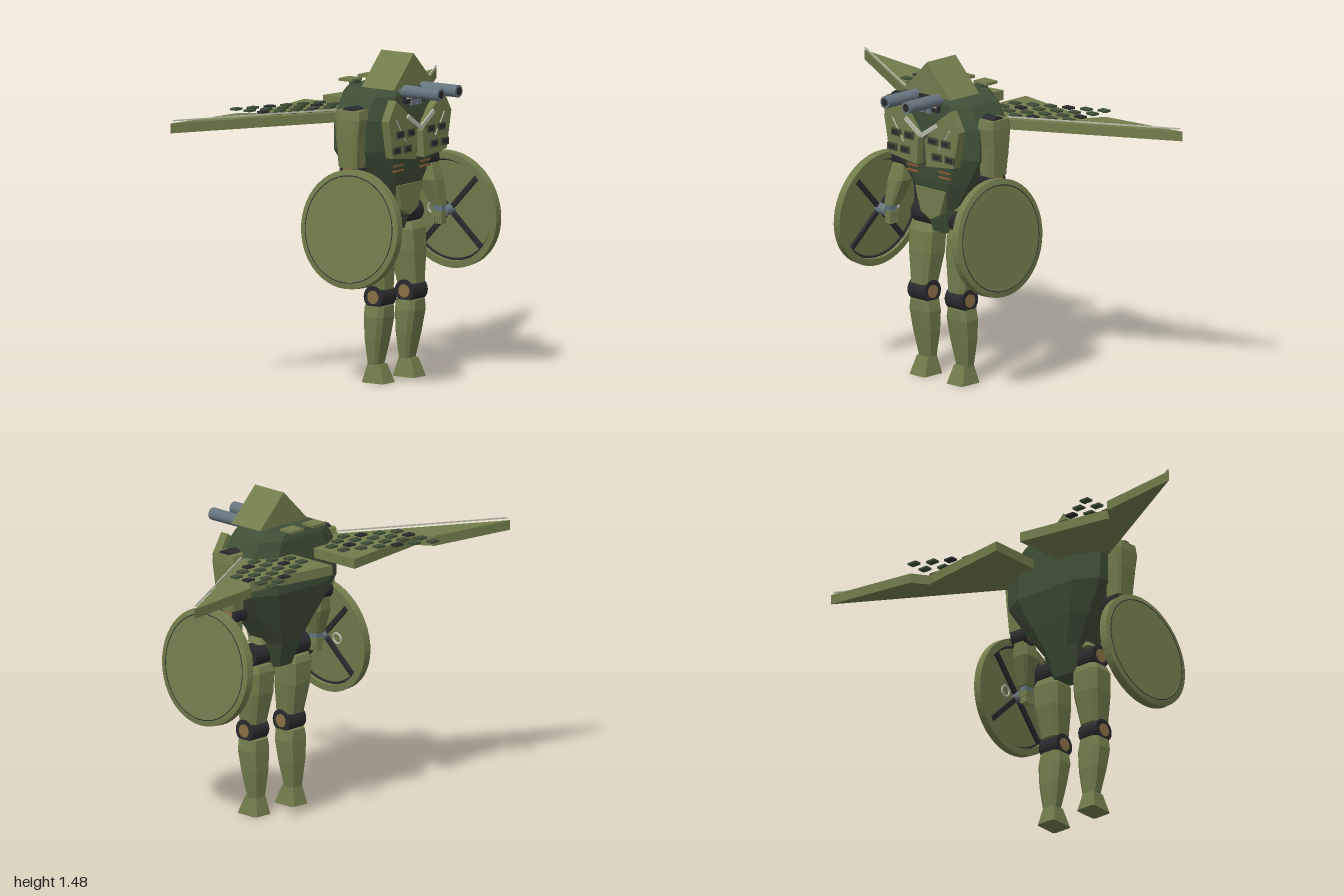
import * as THREE from 'three';

const mat = (name, color) => Object.assign(new THREE.MeshStandardMaterial({ color }), { name });

export function createModel() {
  const olive = mat('olive armour', 0x727c4c);
  const dark = mat('dark green', 0x3f4f37);
  const black = mat('black joint', 0x2b2b2f);
  const steel = mat('blue steel', 0x66747e);
  const bronze = mat('bronze cap', 0x8a7044);
  const pale = mat('pale trim', 0xb8baa8);
  const rust = mat('rust vent', 0x845a34);
  const root = new THREE.Group();
  root.name = 'wingedRobot';

  // Faceted mesh helper
  const add = (name, geo, m, x = 0, y = 0, z = 0, parent = root) => {
    const g = geo.index ? geo.toNonIndexed() : geo;
    g.computeVertexNormals();
    const mesh = new THREE.Mesh(g, m);
    mesh.name = name;
    mesh.position.set(x, y, z);
    parent.add(mesh);
    return mesh;
  };
  const box = (name, m, w, h, d, x, y, z, p) => add(name, new THREE.BoxGeometry(w, h, d), m, x, y, z, p);
  const cylX = (name, m, r, len, x, y, z, p) =>
    add(name, new THREE.CylinderGeometry(r, r, len, 20).rotateZ(Math.PI / 2), m, x, y, z, p);
  const cylZ = (name, m, r, len, x, y, z, p) =>
    add(name, new THREE.CylinderGeometry(r, r, len, 20).rotateX(Math.PI / 2), m, x, y, z, p);
  // Thin bar between two points
  const bar = (name, m, a, b, t) => {
    const A = new THREE.Vector3(...a), B = new THREE.Vector3(...b);
    const mesh = box(name, m, t, t, A.distanceTo(B), 0, 0, 0);
    mesh.position.copy(A).add(B).multiplyScalar(0.5);
    mesh.quaternion.setFromUnitVectors(new THREE.Vector3(0, 0, 1), B.sub(A).normalize());
  };
  const plate = (name, m, pts, depth, z) => add(name, new THREE.ExtrudeGeometry(
    new THREE.Shape(pts.map(p => new THREE.Vector2(...p))), { depth, bevelEnabled: false }), m, 0, 0, z);
  // Chamfered sections [y, centreX, halfWidth, back, front], listed top to bottom
  const loft = (name, m, sections, c) => {
    const rings = sections.map(([y, cx, w, zb, zf]) => {
      const d = (zf - zb) / 2, cz = (zf + zb) / 2, k = 1 - c;
      return [[1, k], [k, 1], [-k, 1], [-1, k], [-1, -k], [-k, -1], [k, -1], [1, -k]]
        .map(([a, b]) => [cx + a * w, y, cz + b * d]);
    });
    const v = [];
    for (let r = 0; r < rings.length - 1; r++) {
      for (let i = 0; i < 8; i++) {
        const j = (i + 1) % 8, t = rings[r], b = rings[r + 1];
        v.push(...t[i], ...t[j], ...b[i], ...t[j], ...b[j], ...b[i]);
      }
    }
    const top = rings[0], bot = rings[rings.length - 1];
    for (let i = 1; i < 7; i++) v.push(...top[0], ...top[i], ...top[i + 1], ...bot[0], ...bot[i + 1], ...bot[i]);
    // Caps run opposite to the walls, so swap them to face outward
    const g = new THREE.BufferGeometry();
    const caps = v.length - 6 * 18;
    for (let k = caps; k < v.length; k += 9) {
      for (let a = 0; a < 3; a++) [v[k + 3 + a], v[k + 6 + a]] = [v[k + 6 + a], v[k + 3 + a]];
    }
    g.setAttribute('position', new THREE.Float32BufferAttribute(v, 3));
    return add(name, g, m);
  };

  // Torso and pelvis
  loft('torso', dark, [
    [1.33, 0, 0.16, -0.075, 0.19], [1.3, 0, 0.215, -0.085, 0.205], [1.2, 0, 0.275, -0.09, 0.21],
    [1.06, 0, 0.27, -0.095, 0.21], [0.93, 0, 0.19, -0.06, 0.19], [0.8, 0, 0.1, -0.02, 0.16],
    [0.68, 0, 0.065, 0.02, 0.13]], 0.4);
  plate('pelvisGuard', olive, [[-0.095, 0.89], [-0.06, 0.78], [0, 0.75], [0.06, 0.78], [0.095, 0.89]], 0.04, 0.15);

  // Head and face
  plate('roofHead', olive, [[-0.15, 1.33], [0.15, 1.33], [0, 1.48]], 0.18, 0.03);
  box('face', black, 0.16, 0.07, 0.1, 0, 1.295, 0.17);
  box('faceTrim', pale, 0.14, 0.008, 0.006, 0, 1.285, 0.222);

  for (const s of [1, -1]) {
    const side = s > 0 ? 'left' : 'right';
    const n = t => side + t;

    // Twin cannons, face vents and back fins
    cylZ(n('Cannon'), steel, 0.028, 0.31, s * 0.067, 1.318, 0.255);
    cylZ(n('CannonBore'), black, 0.018, 0.004, s * 0.067, 1.318, 0.41);
    box(n('FaceVent'), steel, 0.03, 0.025, 0.01, s * 0.022, 1.262, 0.222);
    box(n('BackFin'), olive, 0.08, 0.012, 0.07, s * 0.07, 1.345, -0.09);
    box(n('BackFinMount'), dark, 0.05, 0.02, 0.03, s * 0.07, 1.333, -0.065);

    // Chest plate with windows and trim
    plate(n('ChestPlate'), olive, [[0.18, 1.29], [0.235, 1.2], [0.2, 1.03], [0.03, 1.01], [0.02, 1.13], [0.1, 1.23]]
      .map(([x, y]) => [s * x, y]), 0.042, 0.203);
    for (const [x, y] of [[0.075, 1.135], [0.155, 1.135], [0.1, 1.065], [0.18, 1.065]]) {
      box(n('ChestWindow'), dark, 0.056, 0.034, 0.009, s * x, y, 0.248);
      box(n('WindowSlot'), black, 0.04, 0.02, 0.004, s * x, y, 0.252);
    }
    const chevron = box(n('Chevron'), pale, 0.115, 0.02, 0.008, s * 0.05, 1.18, 0.249);
    chevron.rotation.z = s * 0.58;
    bar(n('ChestLine'), pale, [s * 0.18, 1.2, 0.247], [s * 0.11, 1.1, 0.247], 0.005);
    for (const y of [0.985, 0.96]) box(n('BellyVent'), rust, 0.07, 0.008, 0.012, s * 0.1, y, 0.198);

    // Wing, leading rod and camouflage tiles
    const outline = [[0.07, -0.05], [0.2, 0.01], [0.29, 0.01], [1, -0.4],
      [0.58, -0.34], [0.53, -0.265], [0.515, -0.275], [0.07, -0.345]];
    add(n('Wing'), new THREE.ExtrudeGeometry(
      new THREE.Shape(outline.map(([x, z]) => new THREE.Vector2(s * x, -z))),
      { depth: 0.045, bevelEnabled: false }).rotateX(-Math.PI / 2), olive, 0, 1.187, 0);
    bar(n('WingRod'), pale, [s * 0.3, 1.244, 0], [s * 0.99, 1.244, -0.394], 0.006);
    for (let i = 0; i < 6; i++) {
      for (let j = 0; j < 5; j++) {
        const x = 0.508 - 0.075 * i, z = -0.4 + 0.0375 * i + 0.0745 * j;
        if (z > -0.03 || z > -0.4 + (1 - x) * 0.57 - 0.03) continue;
        const tone = i % 2 === 0 && (i + j) % 3 === 2 ? black : dark;
        box(n('WingTile'), tone, 0.047, 0.009, 0.035, s * x, 1.236, z);
      }
    }

    // Arm
    cylX(n('Shoulder'), black, 0.045, 0.075, s * 0.287, 1.22, 0.085);
    loft(n('UpperArm'), olive, [
      [1.25, s * 0.295, 0.043, 0.025, 0.145], [1.21, s * 0.295, 0.047, 0.015, 0.152],
      [1.13, s * 0.293, 0.047, 0.02, 0.14], [0.99, s * 0.288, 0.042, 0.03, 0.13]], 0.25);
    cylX(n('Elbow'), black, 0.048, 0.08, s * 0.272, 0.967, 0.075);
    cylX(n('ElbowCap'), bronze, 0.03, 0.088, s * 0.272, 0.967, 0.075);
    loft(n('Forearm'), olive, [
      [0.945, s * 0.275, 0.035, 0.04, 0.125], [0.87, s * 0.28, 0.045, 0.045, 0.145],
      [0.75, s * 0.305, 0.028, 0.095, 0.155]], 0.3);
    box(n('Wrist'), steel, 0.035, 0.03, 0.045, s * 0.305, 0.738, 0.13);
    box(n('Hand'), olive, 0.045, 0.025, 0.055, s * 0.303, 0.712, 0.13);
    for (let i = 0; i < 4; i++) box(n('Finger'), olive, 0.035, 0.035, 0.01, s * 0.3, 0.685, 0.11 + i * 0.0135);

    // Round shield, recessed with spokes on the inner face
    const shield = new THREE.Group();
    shield.name = n('Shield');
    shield.position.set(s * 0.375, 0.725, 0.14);
    shield.rotation.z = s * 0.1;
    root.add(shield);
    const profile = [[0, 0], [0.235, 0], [0.235, -0.022], [0.267, -0.022], [0.267, 0.015], [0.245, 0.02], [0, 0.02]];
    add('shieldDish', new THREE.LatheGeometry(profile.map(p => new THREE.Vector2(...p)), 48)
      .rotateZ(-s * Math.PI / 2), olive, 0, 0, 0, shield);
    const ring = (name, m, r, t, x, z) =>
      add(name, new THREE.TorusGeometry(r, t, 6, 48).rotateY(Math.PI / 2), m, s * x, 0, z, shield);
    ring('shieldGroove', black, 0.24, 0.002, 0.02, 0);
    ring('shieldInnerRing', black, 0.23, 0.006, -0.004, 0);
    ring('shieldGripRing', pale, 0.024, 0.005, -0.016, -0.09);
    for (const angle of [Math.PI / 4, -Math.PI / 4]) {
      box('shieldSpoke', black, 0.014, 0.46, 0.022, -s * 0.007, 0, 0, shield).rotation.x = angle;
    }
    cylX('shieldHub', steel, 0.025, 0.06, -s * 0.03, 0, 0, shield);

    // Leg
    const x = s * 0.117;
    cylX(n('Hip'), black, 0.053, 0.115, x, 0.745, 0.085);
    cylX(n('HipCap'), bronze, 0.032, 0.121, x, 0.745, 0.085);
    loft(n('HipGuard'), olive, [[0.82, s * 0.1, 0.025, 0.05, 0.12], [0.795, s * 0.1, 0.04, 0.04, 0.13]], 0.2);
    loft(n('Thigh'), olive, [
      [0.7, x, 0.06, 0.03, 0.14], [0.67, x, 0.073, 0.02, 0.155],
      [0.57, x, 0.07, 0.025, 0.16], [0.425, x, 0.05, 0.055, 0.16]], 0.35);
    cylX(n('Knee'), black, 0.052, 0.108, x, 0.39, 0.11);
    cylX(n('KneeCap'), bronze, 0.03, 0.114, x, 0.39, 0.11);
    loft(n('Shin'), olive, [
      [0.35, x, 0.055, 0.052, 0.16], [0.3, x, 0.064, 0.05, 0.158],
      [0.2, x, 0.056, 0.05, 0.14], [0.082, x, 0.038, 0.06, 0.115]], 0.35);
    loft(n('Foot'), olive, [[0.083, x, 0.034, 0.06, 0.128], [0, x, 0.05, 0.04, 0.16]], 0.15);
  }
  return root;
}
